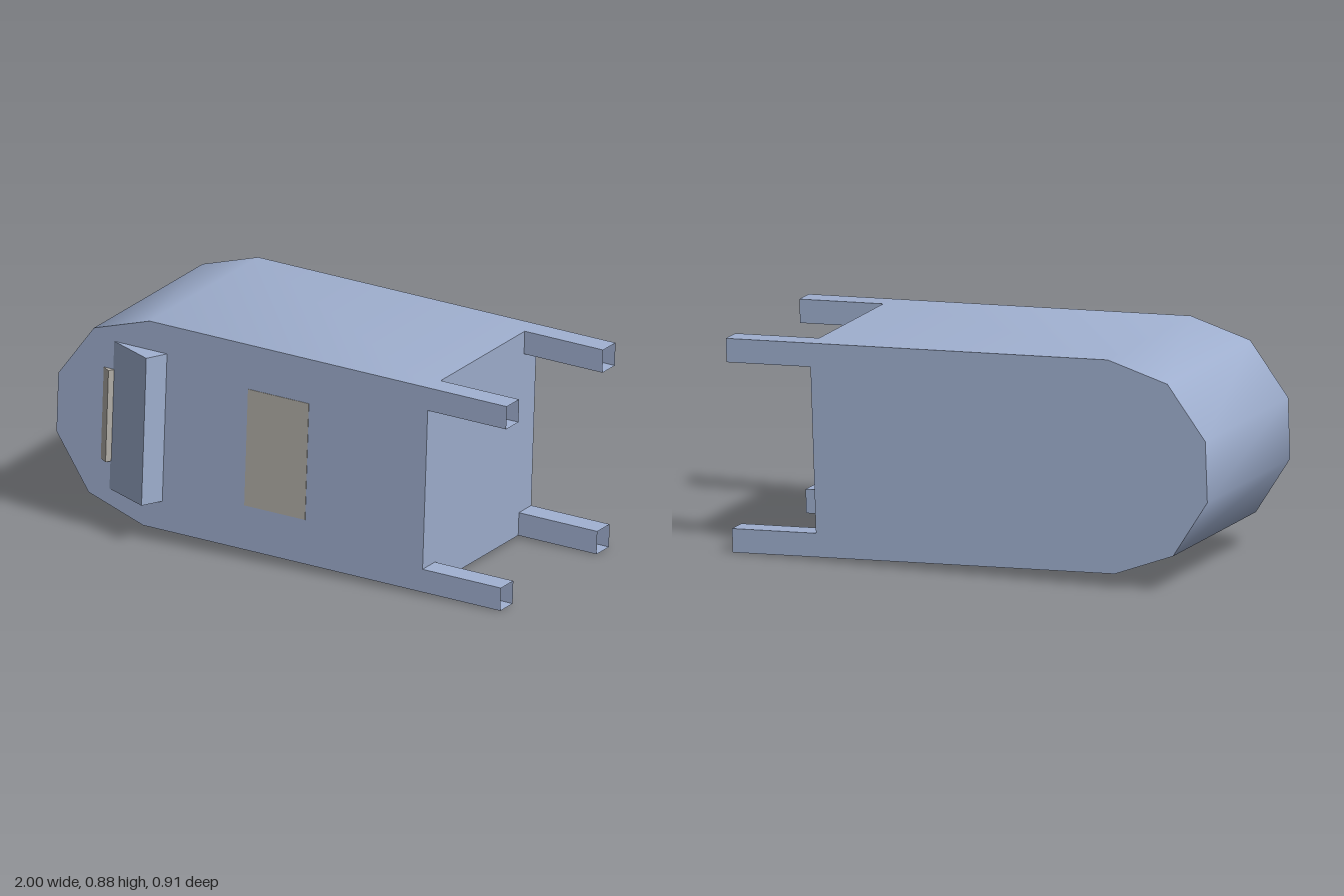
import * as THREE from 'three';
import { toCreasedNormals } from 'three/addons/utils/BufferGeometryUtils.js';

const BACK = -0.417, FRONT = 0.394; // depth of the body
const HALF = 0.413;                 // half width of the body
const BASE = 0.625, TIP = 0.968;    // where the legs start and end
const LEG = 0.092;

// Prism: a closed outline of [x, y] points extruded along z
function prism(points, depth, crease) {
  const shape = new THREE.Shape(points.map(([x, y]) => new THREE.Vector2(x, y)));
  const geometry = new THREE.ExtrudeGeometry(shape, { depth, bevelEnabled: false });
  return toCreasedNormals(geometry, crease);
}

export function createModel() {
  const blue = new THREE.MeshStandardMaterial({ color: 0xa0b0d0, side: THREE.DoubleSide });
  blue.name = 'paleBlue';
  const tan = new THREE.MeshStandardMaterial({ color: 0xb3afa8 });
  tan.name = 'warmGrey';

  // The box lies on its side: legs along +x, domed top along -x, tilted a little
  const box = new THREE.Group();
  box.name = 'streetBox';
  const add = (name, geometry, material, x = 0, y = 0, z = 0) => {
    const mesh = new THREE.Mesh(geometry, material);
    mesh.name = name;
    mesh.position.set(x, y, z);
    box.add(mesh);
    return mesh;
  };

  // Body with faceted, smoothly shaded dome
  const dome = [[-0.594, HALF], [-0.835, 0.332], [-0.983, 0.118]];
  const outline = [
    [BASE, -HALF], [BASE, HALF], ...dome,
    ...dome.map(([x, y]) => [x, -y]).reverse(),
  ];
  add('body', prism(outline, FRONT - BACK, 0.7), blue, 0, 0, BACK);

  // Four hollow legs flush with the body corners
  const legGeometry = new THREE.CylinderGeometry(
    LEG / Math.SQRT2, LEG / Math.SQRT2, TIP - BASE, 4, 1, true,
  ).rotateY(Math.PI / 4).rotateZ(-Math.PI / 2).toNonIndexed();
  legGeometry.computeVertexNormals();
  for (const y of [-HALF + LEG / 2, HALF - LEG / 2]) {
    for (const z of [BACK + LEG / 2, FRONT - LEG / 2]) {
      add('leg', legGeometry, blue, (BASE + TIP) / 2, y, z);
    }
  }

  // Wedges on the front face: [x, rise] outline swept across the width
  const wedge = (name, material, left, apex, right, rise, half) => {
    const geometry = prism([[left, 0], [right, 0], [apex, -rise]], half * 2, 0.1);
    geometry.rotateX(-Math.PI / 2); // outline y becomes -z, sweep becomes +y
    add(name, geometry, material, 0, -half, FRONT);
  };
  wedge('slotHood', blue, -0.745, -0.555, -0.514, 0.085, 0.298);
  wedge('pullHandle', tan, -0.787, -0.752, -0.739, 0.024, 0.185);

  // Painted panel on the front face
  add('frontPanel', new THREE.BoxGeometry(0.266, 0.47, 0.004), tan, -0.024, 0, FRONT);

  // Slight tilt of the whole box
  const along = new THREE.Vector3(0.9985, -0.034, 0.043).normalize();
  const across = new THREE.Vector3(0.034, 0.9994, 0).normalize();
  const outward = new THREE.Vector3().crossVectors(along, across).normalize();
  across.crossVectors(outward, along);
  box.quaternion.setFromRotationMatrix(new THREE.Matrix4().makeBasis(along, across, outward));
  box.position.y = 0.449;

  const model = new THREE.Group();
  model.name = 'model';
  model.add(box);
  return model;
}
